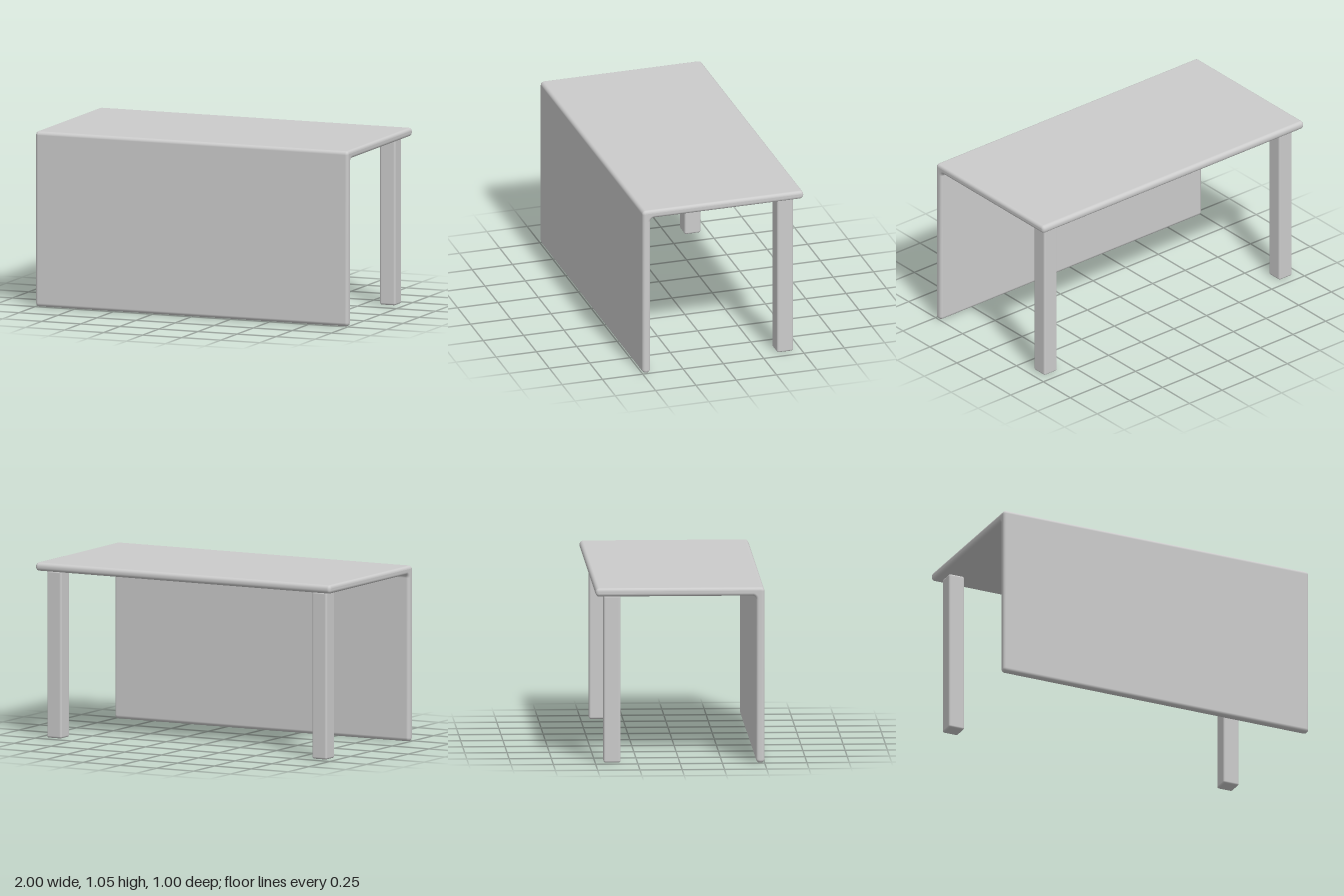
import * as THREE from 'three';
import { mergeVertices } from 'three/addons/utils/BufferGeometryUtils.js';
import { RoundedBoxGeometry } from 'three/addons/geometries/RoundedBoxGeometry.js';

const LENGTH = 2, DEPTH = 1, HEIGHT = 1.048, THICK = 0.05;
const UNDERSIDE = HEIGHT - THICK;

// Closed outline through the corners, each rounded to radius r
function roundedShape(corners, r) {
  const shape = new THREE.Shape();
  const k = 1 - 0.5523;
  const pts = corners.map(([x, y]) => new THREE.Vector2(x, y));
  pts.forEach((p, i) => {
    const prev = pts[(i + pts.length - 1) % pts.length];
    const next = pts[(i + 1) % pts.length];
    const toPrev = prev.clone().sub(p).setLength(r);
    const toNext = next.clone().sub(p).setLength(r);
    const a = p.clone().add(toPrev), b = p.clone().add(toNext);
    const c1 = p.clone().addScaledVector(toPrev, k), c2 = p.clone().addScaledVector(toNext, k);
    if (i === 0) shape.moveTo(a.x, a.y);
    else shape.lineTo(a.x, a.y);
    shape.bezierCurveTo(c1.x, c1.y, c2.x, c2.y, b.x, b.y);
  });
  shape.closePath();
  return shape;
}

export function createModel() {
  const group = new THREE.Group();
  group.name = 'desk';
  const material = new THREE.MeshStandardMaterial({ color: 0xcccccc });

  // Tabletop and front panel: one L-shaped profile run along the length
  const f = -DEPTH / 2, b = DEPTH / 2, bevel = 0.018;
  const profile = roundedShape([
    [f, 0], [f + THICK, 0], [f + THICK, UNDERSIDE],
    [b, UNDERSIDE], [b, HEIGHT], [f, HEIGHT],
  ], 0.022);
  let slab = new THREE.ExtrudeGeometry(profile, {
    depth: LENGTH - 2 * bevel, curveSegments: 6,
    bevelEnabled: true, bevelSize: bevel, bevelThickness: bevel,
    bevelOffset: -bevel, bevelSegments: 5,
  });
  slab.translate(0, 0, -LENGTH / 2 + bevel);
  slab.rotateY(Math.PI / 2);
  // Weld so the rounded edges shade smoothly into the flat faces
  slab.deleteAttribute('normal');
  slab.deleteAttribute('uv');
  slab = mergeVertices(slab);
  slab.computeVertexNormals();
  const top = new THREE.Mesh(slab, material);
  top.name = 'tabletopAndFrontPanel';
  group.add(top);

  // Two square back legs
  const legGeometry = new RoundedBoxGeometry(0.1, UNDERSIDE, 0.1, 4, 0.012);
  for (const side of [1, -1]) {
    const leg = new THREE.Mesh(legGeometry, material);
    leg.name = side > 0 ? 'backLegLeft' : 'backLegRight';
    leg.position.set(side * 0.9, UNDERSIDE / 2, -0.4);
    group.add(leg);
  }
  return group;
}
